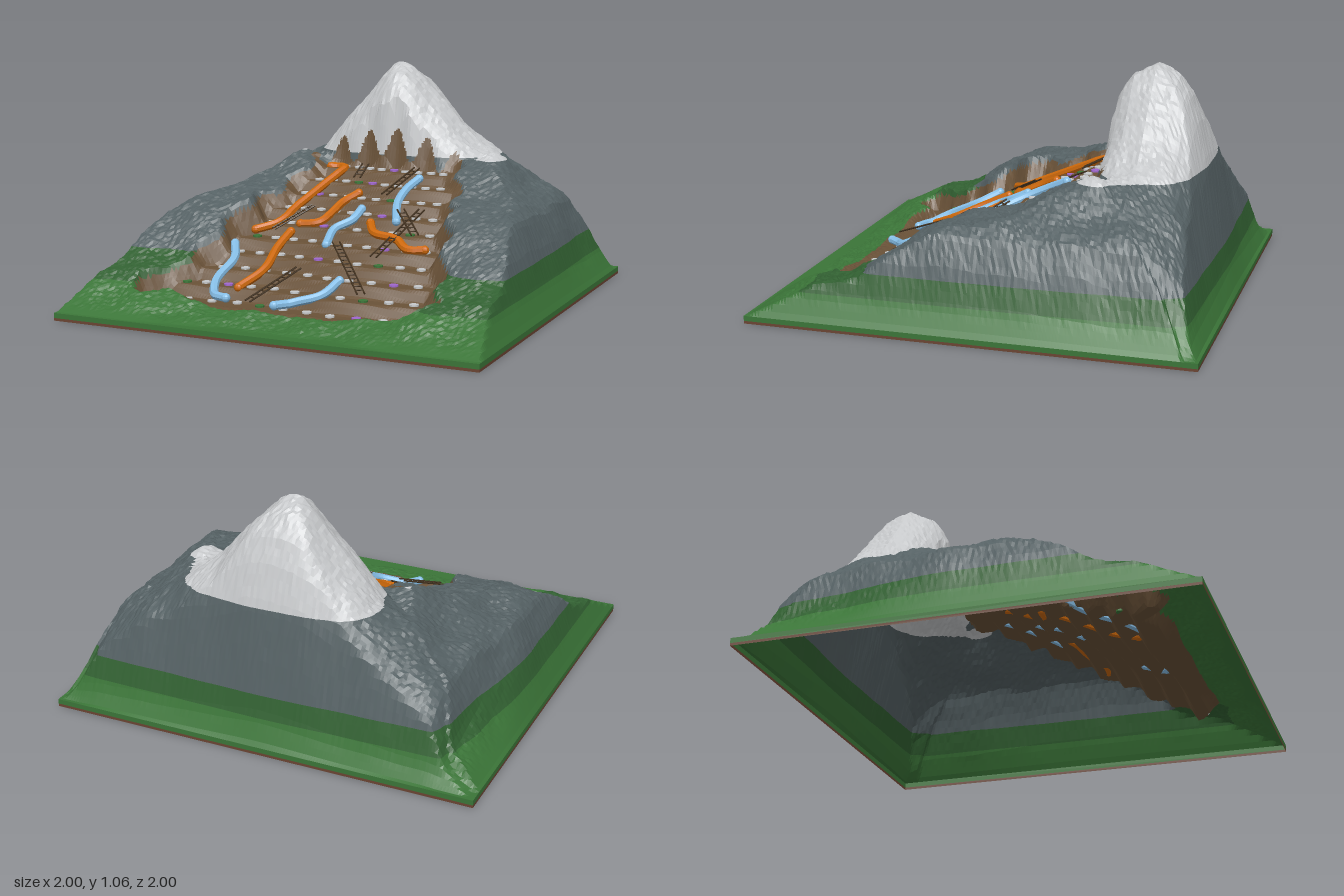
import * as THREE from 'three';

const mat = (name, color) => {
  const m = new THREE.MeshStandardMaterial({ color, flatShading: true, side: THREE.DoubleSide });
  m.name = name;
  return m;
};

// Linear lookup in a profile of [position, height] pairs
const lookup = (pts, v) => {
  if (v <= pts[0][0]) return pts[0][1];
  for (let i = 1; i < pts.length; i++) {
    const [a, ya] = pts[i - 1], [b, yb] = pts[i];
    if (v <= b) return ya + (yb - ya) * (v - a) / (b - a);
  }
  return pts[pts.length - 1][1];
};
const smooth = THREE.MathUtils.smoothstep, lerp = THREE.MathUtils.lerp, clamp = THREE.MathUtils.clamp;

// Ridge height across x
const RIDGE = [[-1, 0.03], [-0.95, 0.15], [-0.9, 0.29], [-0.85, 0.39], [-0.8, 0.42], [-0.7, 0.46], [-0.6, 0.52], [-0.5, 0.59],
  [-0.4, 0.65], [-0.3, 0.76], [-0.2, 0.88], [-0.1, 1.0], [-0.04, 1.05], [0, 1.06], [0.04, 1.05], [0.1, 1.0], [0.2, 0.88],
  [0.3, 0.77], [0.4, 0.69], [0.5, 0.62], [0.6, 0.58], [0.7, 0.51], [0.8, 0.46], [0.85, 0.42], [0.9, 0.3], [0.95, 0.14], [1, 0.03]];
// Share of the ridge height from back to front
const PEAK = [[-1, 0.02], [-0.95, 0.14], [-0.9, 0.38], [-0.85, 0.61], [-0.8, 0.77], [-0.75, 0.88], [-0.7, 0.94], [-0.6, 1],
  [-0.5, 0.95], [-0.45, 0.89], [-0.4, 0.79], [-0.36, 0.5], [-0.32, 0]];
// Shoulders running forward from the peak
const SHOULDER = [[-0.95, 0], [-0.8, 0.3], [-0.6, 0.55], [-0.4, 0.61], [-0.3, 0.59], [-0.2, 0.535], [-0.1, 0.49], [0, 0.475], [0.1, 0.465],
  [0.2, 0.43], [0.3, 0.38], [0.4, 0.31], [0.5, 0.24], [0.6, 0.2], [0.7, 0.18], [0.8, 0.13], [0.9, 0.08], [1, 0.03]];

const ROWS = 10, Z0 = 0.66, STEP = 0.112, RISE = 0.053, LOW = 0.073, CX = 0.03;
const wave = (x) => 0.03 * x + 0.015 * Math.sin(7 * x);
const hash = (x, z) => { const s = Math.sin(x * 127.1 + z * 311.7) * 43758.5453; return s - Math.floor(s) - 0.5; };

// Distance outside the stepped field
function fieldDistance(x, z) {
  const t = clamp((Z0 - z) / STEP, 0, ROWS - 1);
  const half = 0.55 - 0.031 * t + 0.026 * Math.cos(Math.PI * t * 1.1) - 0.9 * Math.max(0, z - 0.64);
  const dx = Math.max(0, Math.abs(x - CX) - half) * 0.6;
  const dz = Math.max(0, (z - Z0) * 0.55, Z0 - STEP * (ROWS - 1) - z);
  const field = Math.hypot(dx, dz) - (z < -0.3 ? 0.008 * Math.sin(42 * x + 5.77) : 0);
  // side path leading off the lowest step
  const s = clamp(((x + 0.5) * -0.17 + (z - 0.53) * 0.2) / 0.0689, 0, 1);
  const path = Math.hypot(x + 0.5 + 0.17 * s, z - 0.53 - 0.2 * s);
  return Math.min(field, path * 0.9);
}
// Height up to which the ground is bare earth; tongues run up the cliff
function earthTop(x, z) {
  const d = fieldDistance(x, z);
  if (z < -0.36) return d < 0.08 ? 0.69 - 0.25 * Math.abs(x) + 0.07 * Math.sin(42 * x + 5.77) : 0;
  return d < 0.06 ? 2 : 0;
}

const rowAt = (x, z) => clamp((Z0 - z + wave(x)) / STEP, 0, ROWS - 1) + 0.5;
function stepHeight(x, z) {
  const t = rowAt(x, z), r = Math.floor(t);
  return LOW + RISE * Math.min(ROWS - 1, r + smooth(t - r, 0.65, 1));
}
// Slope touching the edges of all steps
const rampHeight = (x, z) => LOW + RISE * Math.min(ROWS - 1, rowAt(x, z));

function height(x, z) {
  // the back corners draw inwards, more on one side
  const ax = Math.abs(x);
  const pull = (x < 0 ? 0.09 : 0.03) * smooth(-z, 0, 0.8) * smooth(ax, 0.55, 0.85) * Math.min(1, (1 - ax) / 0.15);
  const m = lookup(RIDGE, x + Math.sign(x) * pull), p = lookup(PEAK, z);
  const s = lookup(SHOULDER, z) * lerp(1, lerp(0.55, 1, smooth(ax, 0.2, 0.75)), smooth(z, 0.4, 0.7));
  const back = z < -0.6 ? lerp(m * p, Math.min(m, 1.06 * p), 0.5) : m * p;
  let h = Math.max(back, Math.min(s, m));
  h += 0.05 * Math.exp(-(((x - 0.53) / 0.08) ** 2) - ((z + 0.45) / 0.1) ** 2);
  const inner = smooth(1 - Math.max(ax, Math.abs(z)), 0.02, 0.12);
  h += inner * (0.012 * Math.sin(19 * x + 5 * z) * Math.sin(17 * z - 4 * x) + 0.009 * hash(x, z));
  const w = clamp((fieldDistance(x, z) - 0.03) / 0.04, 0, 1);
  return Math.max(0.035, lerp(stepHeight(x, z), h, w));
}

// Part of a polygon above (sign 1) or below (sign -1) a level
function clip(poly, level, sign) {
  const out = [];
  poly.forEach((p, i) => {
    const q = poly[(i + 1) % poly.length];
    const a = (p[1] - level) * sign, b = (q[1] - level) * sign;
    if (a >= 0) out.push(p);
    if ((a > 0 && b < 0) || (a < 0 && b > 0)) out.push(p.map((v, k) => lerp(v, q[k], a / (a - b))));
  });
  return out;
}

export function createModel() {
  const group = new THREE.Group();
  const meadow = mat('meadow green', 0x3b7538), forest = mat('forest green', 0x326132), rock = mat('rock grey', 0x556164);
  const snow = mat('snow white', 0xc6c8ca), earth = mat('earth brown', 0x6a5238), base = mat('base brown', 0x6a4432);
  const orange = mat('slide orange', 0xcc680a), blue = mat('water blue', 0x8cc6f0), wood = mat('dark wood', 0x40301e);
  const purple = mat('marker purple', 0xa168d0);
  const add = (name, geo, material, parent = group) => {
    const m = new THREE.Mesh(geo, material);
    m.name = name;
    parent.add(m);
    return m;
  };
  const sub = (name) => { const g = new THREE.Group(); g.name = name; group.add(g); return g; };

  // Hollow terrain shell, split into height bands
  const bands = [['meadow', meadow, 0, 0.15], ['forest', forest, 0.15, 0.25], ['rock', rock, 0.25, 0.62], ['snowCap', snow, 0.62, 2]];
  const verts = { meadow: [], forest: [], rock: [], snowCap: [], steppedField: [] };
  const push = (key, poly) => {
    for (let i = 1; i + 1 < poly.length; i++) verts[key].push(...poly[0], ...poly[i], ...poly[i + 1]);
  };
  const N = 140, grid = [];
  for (let i = 0; i <= N; i++) {
    grid.push([]);
    for (let j = 0; j <= N; j++) {
      const x = -1 + 2 * i / N, z = -1 + 2 * j / N;
      grid[i].push([x, height(x, z), z]);
    }
  }
  for (let i = 0; i < N; i++) for (let j = 0; j < N; j++) {
    const a = grid[i][j], b = grid[i][j + 1], c = grid[i + 1][j + 1], d = grid[i + 1][j];
    for (const tri of [[a, b, d], [b, c, d]]) {
      const top = earthTop((tri[0][0] + tri[1][0] + tri[2][0]) / 3, (tri[0][2] + tri[1][2] + tri[2][2]) / 3);
      push('steppedField', clip(tri, top, -1));
      const rest = clip(tri, top, 1);
      for (const [key, , lo, hi] of bands) push(key, clip(clip(rest, lo, 1), hi, -1));
    }
  }
  for (const [key, material] of [...bands, ['steppedField', earth]]) {
    const geo = new THREE.BufferGeometry();
    geo.setAttribute('position', new THREE.Float32BufferAttribute(verts[key], 3));
    geo.computeVertexNormals();
    add(key, geo, material);
  }

  // Thin upright rim around the foot
  const rim = sub('rim');
  for (let k = 0; k < 4; k++) {
    for (const [name, y, h, m] of [['rimBase', 0.006, 0.012, base], ['rimGrass', 0.0235, 0.023, meadow]]) {
      const side = add(name, new THREE.PlaneGeometry(2, h), m, rim);
      side.rotation.y = k * Math.PI / 2;
      side.position.set(Math.sin(side.rotation.y), y, Math.cos(side.rotation.y));
    }
  }

  // Round markers, ten to each step
  const markers = sub('markers');
  const disc = new THREE.CylinderGeometry(0.021, 0.021, 0.008, 10);
  const purples = [7, 11, 28, 34, 47, 53, 66, 71, 84, 95], greens = [3, 17, 37, 40, 58, 76, 83];
  const mark = (x, z, m) => add('marker', disc, m, markers).position.set(x, stepHeight(x, z) + 0.005, z);
  for (let r = 0; r < ROWS; r++) for (let c = 0; c < 10; c++) {
    const n = r * 10 + c, x = CX + (c / 4.5 - 1) * (0.54 - 0.027 * r);
    const z = Z0 - STEP * r + wave(x) + 0.016 + 0.006 * Math.sin(n * 2.3);
    mark(x, z, purples.includes(n) ? purple : greens.includes(n) ? meadow : snow);
  }
  mark(-0.57, 0.57, meadow);

  // Winding slides and streams lying over the step edges
  const above = (x, z, lift) => new THREE.Vector3(x, rampHeight(x, z) + lift, z);
  const winding = (name, material, paths) => {
    const g = sub(name);
    for (const path of paths) {
      const flat = new THREE.CatmullRomCurve3(path.map(([x, z]) => new THREE.Vector3(x, 0, z)));
      const curve = new THREE.CatmullRomCurve3(flat.getSpacedPoints(14).map((p) => above(p.x, p.z, 0.003)));
      add('bed', new THREE.TubeGeometry(curve, 40, 0.02, 8), material, g);
      for (const t of [0, 1])
        add('end', new THREE.SphereGeometry(0.021, 10, 8), material, g).position.copy(curve.getPoint(t));
    }
  };
  winding('orangeSlides', orange, [
    [[-0.28, -0.34], [-0.2, -0.34], [-0.25, -0.15], [-0.3, 0], [-0.33, 0.12], [-0.42, 0.19]],
    [[-0.03, -0.12], [-0.08, -0.05], [-0.1, 0.03], [-0.13, 0.1], [-0.22, 0.12]],
    [[-0.24, 0.18], [-0.25, 0.3], [-0.24, 0.45], [-0.3, 0.58]],
    [[0.13, 0.1], [0.18, 0.17], [0.3, 0.2], [0.38, 0.26], [0.46, 0.25]]]);
  winding('blueStreams', blue, [
    [[0.23, -0.24], [0.2, -0.15], [0.2, -0.05], [0.25, 0.08]],
    [[0.04, 0], [0.03, 0.08], [-0.03, 0.15], [-0.02, 0.26]],
    [[-0.47, 0.3], [-0.42, 0.4], [-0.43, 0.55], [-0.38, 0.65], [-0.31, 0.68]],
    [[0.16, 0.5], [0.12, 0.6], [0, 0.66], [-0.05, 0.72]]]);

  // Ladders leaning across the steps
  const ladders = sub('ladders');
  const up = new THREE.Vector3(0, 1, 0);
  const bar = (name, a, b, r, parent) => {
    const m = add(name, new THREE.CylinderGeometry(r, r, a.distanceTo(b), 6), wood, parent);
    m.position.copy(a).lerp(b, 0.5);
    m.quaternion.setFromUnitVectors(up, b.clone().sub(a).normalize());
  };
  for (const [x1, z1, x2, z2] of [[-0.09, -0.33, -0.09, -0.23], [0.19, -0.31, 0.11, -0.1], [-0.2, 0.02, -0.33, 0.18],
    [0.25, 0.03, 0.38, 0.17], [0.04, 0.28, 0.3, 0.58], [-0.06, 0.46, -0.18, 0.72], [0.35, 0.02, 0.25, 0.34]]) {
    const g = new THREE.Group();
    g.name = 'ladder';
    ladders.add(g);
    const a = above(x1, z1, 0.028), b = above(x2, z2, 0.01);
    const side = b.clone().sub(a).cross(up).setLength(0.017);
    for (const s of [-1, 1])
      bar('rail', a.clone().addScaledVector(side, s), b.clone().addScaledVector(side, s), 0.004, g);
    const count = Math.round(a.distanceTo(b) / 0.03);
    for (let i = 1; i < count; i++) {
      const p = a.clone().lerp(b, i / count);
      bar('rung', p.clone().sub(side), p.clone().add(side), 0.003, g);
    }
  }
  return group;
}
